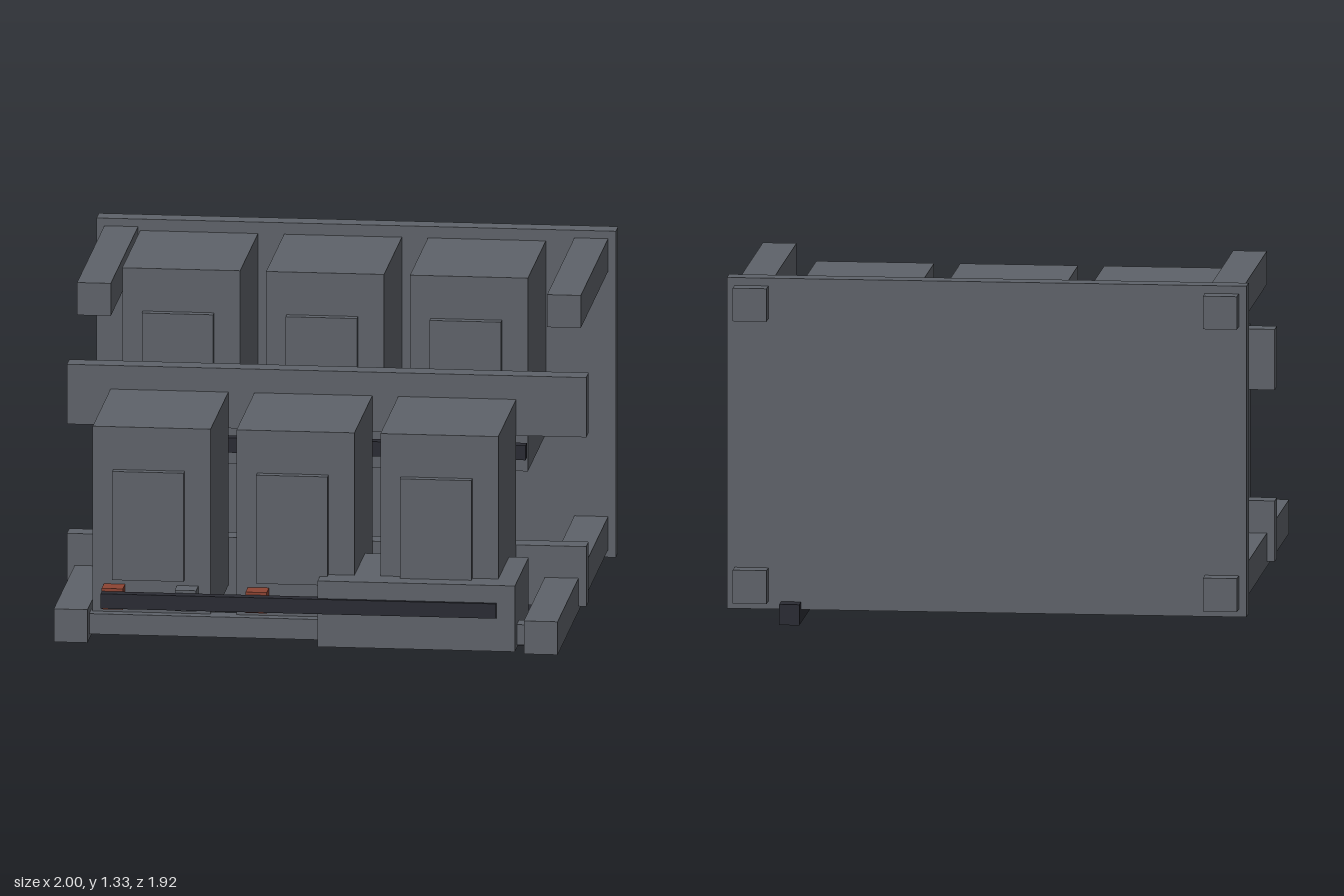
import * as THREE from 'three';

export function createModel() {
  const model = new THREE.Group();
  model.name = 'rackAssembly';

  const makeMaterial = (name, color) => {
    const m = new THREE.MeshStandardMaterial({ color });
    m.name = name;
    return m;
  };
  const grey = makeMaterial('steelGrey', 0x5e6269);
  const dark = makeMaterial('darkBar', 0x2a2b33);
  const red = makeMaterial('redTerminal', 0x8c4433);

  // Box given by its minimum and maximum along each axis
  const addBox = (parent, name, material, [x0, x1], [y0, y1], [z0, z1]) => {
    const mesh = new THREE.Mesh(new THREE.BoxGeometry(x1 - x0, y1 - y0, z1 - z0), material);
    mesh.position.set((x0 + x1) / 2, (y0 + y1) / 2, (z0 + z1) / 2);
    mesh.name = name;
    parent.add(mesh);
  };

  // Frame: back panel, side rails and cross beams
  const frame = new THREE.Group();
  frame.name = 'frame';
  model.add(frame);
  addBox(frame, 'backPanel', grey, [-1, 1], [0.05, 1.333], [-0.89, -0.81]);
  for (const [side, x] of [['left', [0.84, 0.97]], ['right', [-0.97, -0.84]]]) {
    addBox(frame, side + 'TopRail', grey, x, [1.175, 1.303], [-0.96, 0.135]);
    addBox(frame, side + 'BottomRail', grey, x, [0.08, 0.21], [-0.96, 0.942]);
  }
  addBox(frame, 'upperBeam', grey, [-1, 1], [0.765, 1.0], [0.135, 0.217]);
  addBox(frame, 'lowerBeam', grey, [-1, 1], [0.1, 0.335], [0.135, 0.217]);
  addBox(frame, 'frontCrossbar', grey, [-0.84, 0.84], [0.1, 0.18], [0.8, 0.88]);

  // One row: three units with door and terminals, joined by a bus bar
  const addRow = (name, y, z) => {
    const row = new THREE.Group();
    row.name = name;
    row.position.set(0, y, z); // bottom of the units, at their front face
    for (let i = 0; i < 3; i++) {
      const unit = new THREE.Group();
      unit.name = 'unit' + (i + 1);
      unit.position.x = -0.605 + i * 0.554;
      addBox(unit, 'cabinet', grey, [-0.227, 0.227], [0, 0.76], [-0.62, 0]);
      addBox(unit, 'door', grey, [-0.148, 0.127], [0.165, 0.592], [0, 0.034]);
      addBox(unit, 'redTerminal', red, [-0.184, -0.102], [0.06, 0.142], [0, 0.08]);
      addBox(unit, 'greyTerminal', grey, [0.098, 0.18], [0.06, 0.142], [0, 0.08]);
      row.add(unit);
    }
    addBox(row, 'busBar', dark, [-0.788, 0.735], [0.073, 0.131], [0.08, 0.124]);
    model.add(row);
  };
  addRow('upperRow', 0.528, -0.19);
  addRow('lowerRow', 0.147, 0.835);

  // Control box at the front and the duct running back beneath the frame
  addBox(model, 'controlBox', grey, [0.046, 0.806], [0.088, 0.347], [0.468, 0.944]);
  addBox(model, 'duct', dark, [0.714, 0.791], [0, 0.08], [-0.96, 0.468]);

  return model;
}
